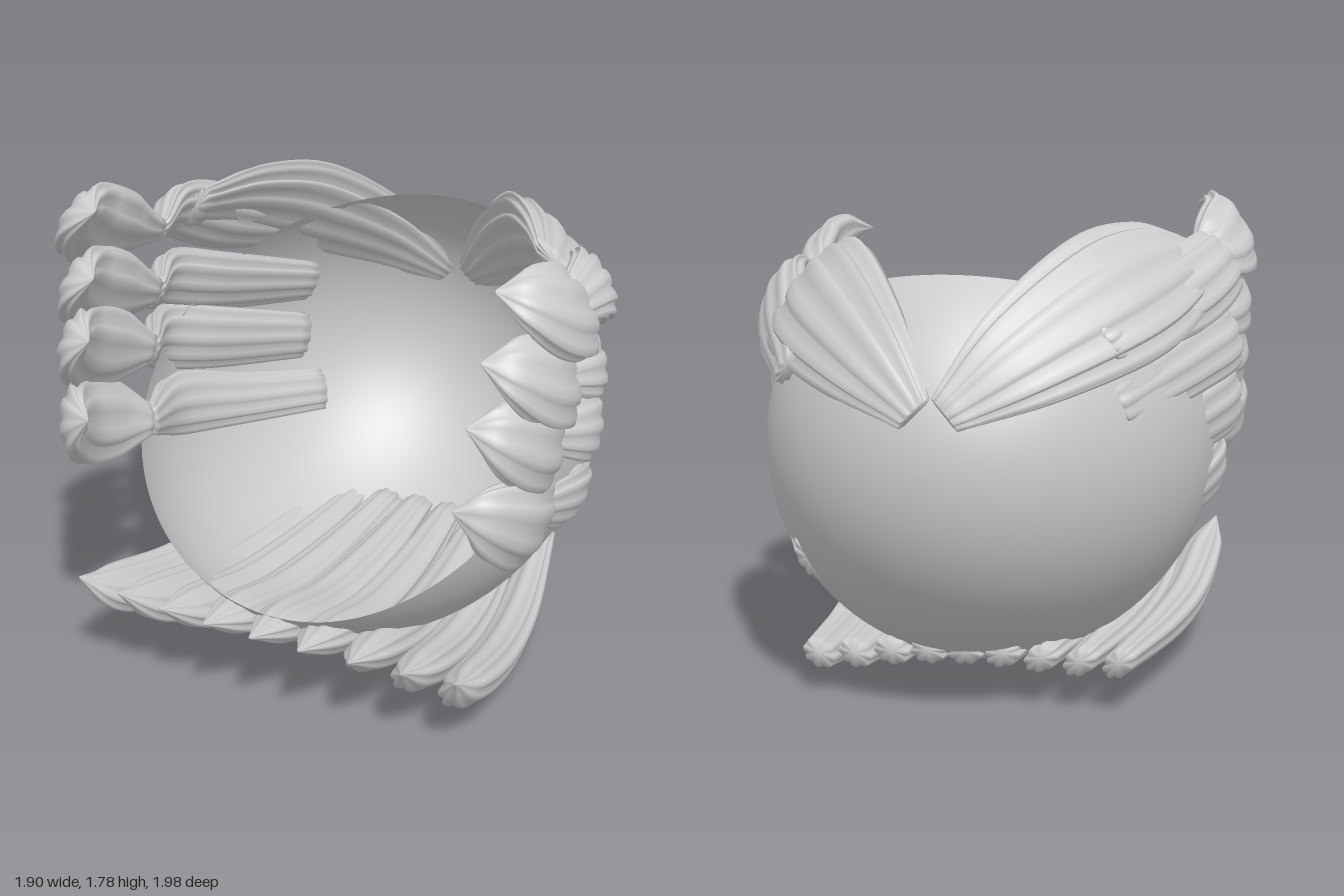
import * as THREE from 'three';
import { mergeVertices } from 'three/addons/utils/BufferGeometryUtils.js';

const CENTER = new THREE.Vector3(-0.035, 0.86, 0.03);
const RADII = new THREE.Vector3(0.825, 0.83, 1.02);
const material = new THREE.MeshStandardMaterial({ color: 0xcccccc, roughness: 0.7 });
const capMaterial = material.clone();
capMaterial.side = THREE.DoubleSide;

// Smooth surface from rows of closed rings; at(row, column) gives a point.
function ringSurface(rows, cols, at) {
  const pos = [], index = [];
  for (let i = 0; i <= rows; i++)
    for (let j = 0; j < cols; j++) pos.push(...at(i, j).toArray());
  for (let i = 0; i < rows; i++) {
    for (let j = 0; j < cols; j++) {
      const a = i * cols + j, b = i * cols + (j + 1) % cols;
      index.push(a, a + cols, b, b, a + cols, b + cols);
    }
  }
  const g = new THREE.BufferGeometry();
  g.setAttribute('position', new THREE.Float32BufferAttribute(pos, 3));
  g.setIndex(index);
  const merged = mergeVertices(g, 1e-5);
  merged.computeVertexNormals();
  return merged;
}

// Hollow ellipsoid, trimmed by a curved opening that faces up and forward.
function scalpCap() {
  const rows = 48, cols = 96;
  const point = (theta, phi) => new THREE.Vector3(
    Math.sin(theta) * Math.cos(phi), Math.sin(theta) * Math.sin(phi), -Math.cos(theta)
  ).multiply(RADII).add(CENTER);
  const inside = (p) => {
    const h = p.y - 0.35;
    return p.z < 0.85 - 0.6 * h - 0.64 * h * Math.abs(h);
  };
  const limits = [];
  for (let j = 0; j < cols; j++) {
    const phi = -j / cols * Math.PI * 2;
    let lo = 0.1, hi = Math.PI;
    for (let k = 0; k < 30; k++) {
      const mid = (lo + hi) / 2;
      if (inside(point(mid, phi))) lo = mid; else hi = mid;
    }
    limits.push(lo);
  }
  const geometry = ringSurface(rows, cols, (i, j) =>
    point(limits[j] * i / rows, -j / cols * Math.PI * 2));
  const mesh = new THREE.Mesh(geometry, capMaterial);
  mesh.name = 'scalpCap';
  return mesh;
}

// Fluted lock swept through stations [x, y, z, halfWidth], lying flat to the head.
function lock(name, stations, flatness, lobes = 5) {
  const rows = 30, cols = lobes * 8;
  const path = new THREE.CatmullRomCurve3(
    stations.map(([x, y, z]) => new THREE.Vector3(x, y, z)), false, 'catmullrom');
  const widths = new THREE.CatmullRomCurve3(
    stations.map((s) => new THREE.Vector3(s[3], 0, 0)), false, 'catmullrom');
  const rings = [];
  for (let i = 0; i <= rows; i++) {
    // the first and last rings close the ends
    const t = THREE.MathUtils.clamp((i - 1) / (rows - 2), 0, 1);
    const p = path.getPoint(t), tangent = path.getTangent(t);
    const n = p.clone().sub(CENTER).divide(RADII).divide(RADII);
    n.addScaledVector(tangent, -n.dot(tangent)).normalize();
    const side = new THREE.Vector3().crossVectors(tangent, n);
    const w = i === 0 || i === rows ? 0 : Math.max(0.004, widths.getPoint(t).x);
    rings.push({ p, n, side, w });
  }
  const geometry = ringSurface(rows, cols, (i, j) => {
    const { p, n, side, w } = rings[i];
    const a = j / cols * Math.PI * 2;
    const r = w * (0.8 + 0.2 * Math.abs(Math.sin(lobes * a)));
    return p.clone()
      .addScaledVector(side, r * Math.cos(a))
      .addScaledVector(n, r * flatness * Math.sin(a));
  });
  const mesh = new THREE.Mesh(geometry, material);
  mesh.name = name;
  return mesh;
}

export function createModel() {
  const model = new THREE.Group();
  model.name = 'hair';
  model.add(scalpCap());

  // Two broad locks rising from the back point around the opening
  for (const s of [1, -1]) {
    const up = s > 0 ? 0 : 0.06, x = (v) => -0.065 + s * v;
    model.add(lock(s > 0 ? 'backLockLeft' : 'backLockRight', [
      [x(0.05), 1.06, -0.97, 0.07],
      [x(0.27), 1.235, -0.82, 0.19],
      [x(0.51), 1.375 + up / 2, -0.53, 0.255],
      [x(0.64), 1.43 + up, -0.26, 0.21],
      [x(0.71), 1.46 + up, 0.0, 0.11]], 0.3, 6));
  }

  // Side locks: root strands [x, y, z, halfWidth] and the height and depth of each curl
  const sides = [
    { y: 1.4, z: 0.27, root: [[0.5, 1.17, -0.72, 0.07], [0.68, 1.3, -0.3, 0.15], [0.78, 1.41, 0.0, 0.13]] },
    { y: 1.18, z: 0.31, root: [[0.525, 0.96, -0.65, 0.09], [0.7, 1.07, -0.2, 0.13], [0.8, 1.15, 0.08, 0.13]] },
    { y: 0.98, z: 0.36, root: [[0.53, 0.74, -0.58, 0.1], [0.71, 0.85, -0.15, 0.13], [0.81, 0.93, 0.12, 0.13]] },
    { y: 0.71, z: 0.4, root: [[0.47, 0.49, -0.62, 0.09], [0.65, 0.56, -0.25, 0.11], [0.76, 0.65, 0.1, 0.13]] }];
  for (const s of [1, -1]) {
    const label = s > 0 ? 'Left' : 'Right';
    const lift = s > 0 ? 0 : 0.1, push = s > 0 ? 0 : 0.02;
    sides.forEach(({ y, z, root }, i) => {
      const inset = s > 0 ? 0.025 * i : 0;
      const place = (shift) => ([px, py, pz, w]) =>
        [s > 0 ? px : -px - shift, py + lift, pz + push, w];
      const pinch = place(0)([0.765 - inset, y, z, 0.06]);
      model.add(lock(`sideLock${label}${i + 1}`, [...root.map(place(0.075)), pinch], 0.45));
      model.add(lock(`sideCurl${label}${i + 1}`, [pinch, ...[
        [0.83 - inset, y + 0.045, z + 0.14, 0.15],
        [0.84 - inset, y + 0.105, z + 0.31, 0.165],
        [0.78 - inset, y + 0.18, z + 0.45, 0.115],
        [0.69 - inset, y + 0.21, z + 0.51, 0.005]].map(place(0))], 0.45, 4));
    });
  }

  // Row of long locks under the head, curling up to points at the front
  const count = 9;
  for (let i = 0; i < count; i++) {
    const x = -0.76 + i * 0.173;
    const drop = -0.06 * x + 0.05 * Math.max(0, 1 - (x / 0.5) ** 2);
    const tipZ = 0.99 - 0.14 * (x + 0.06) ** 2;
    model.add(lock(`lowerLock${i + 1}`, [
      [x * 0.78 - 0.01, 0.14 + drop / 2, -0.53, 0.065],
      [x * 0.88, 0.1 + drop, 0.0, 0.1],
      [x * 0.94, 0.13 + drop, 0.4, 0.11],
      [x * 0.98, 0.235 + drop, 0.76, 0.095],
      [x * 1.03, 0.35 - 0.06 * x, tipZ, 0.005]], 0.7, 4));
  }
  return model;
}
